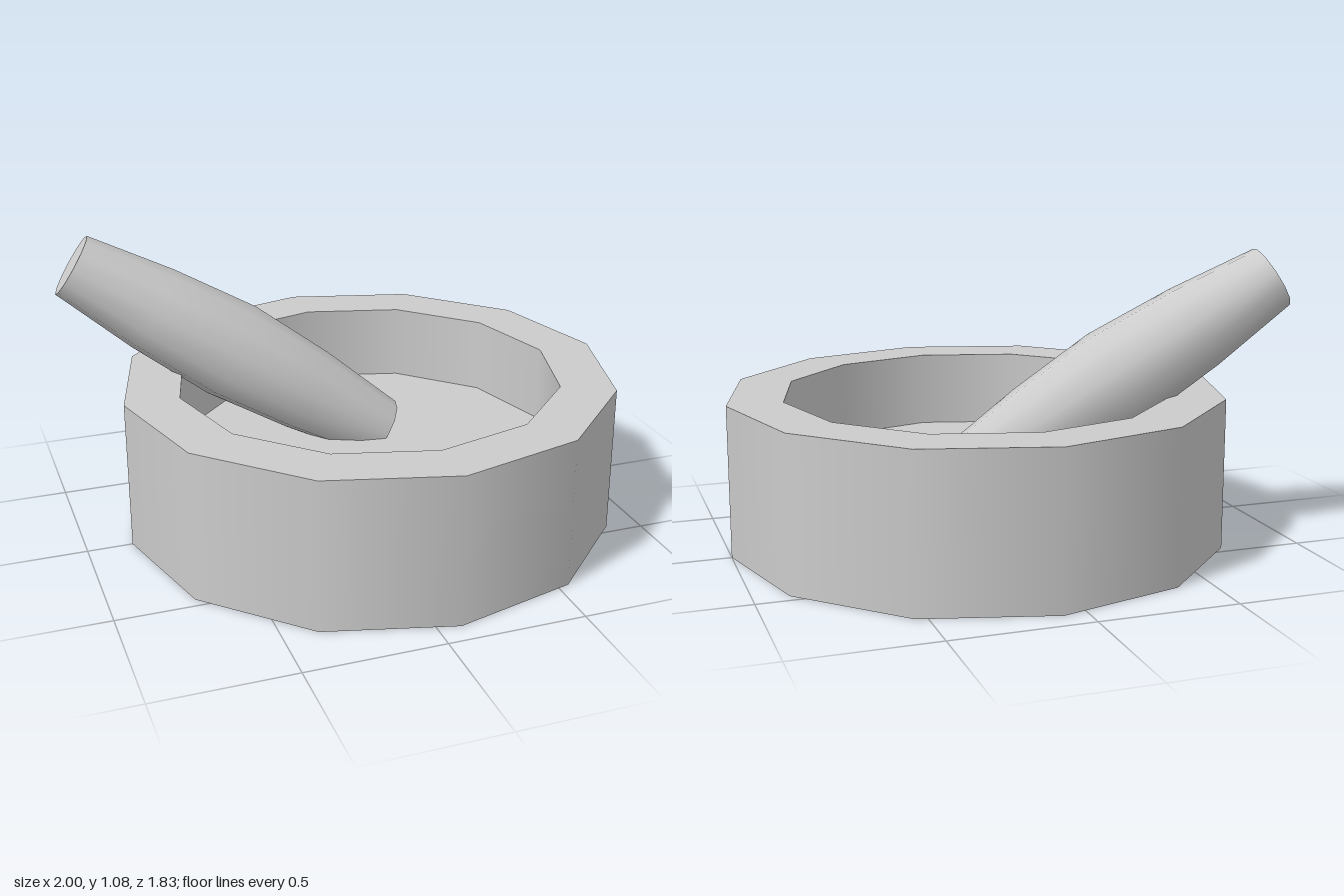
import * as THREE from 'three';
import { mergeGeometries } from 'three/addons/utils/BufferGeometryUtils.js';

const SIDES = 12;
const material = new THREE.MeshStandardMaterial({ color: 0xcccccc });

// Lathe several profile strips; each strip is smooth, joints between strips stay sharp
function latheStrips(strips) {
  return mergeGeometries(strips.map((strip) =>
    new THREE.LatheGeometry(strip.map(([r, y]) => new THREE.Vector2(r, y)), SIDES)));
}

function part(name, geometry) {
  const mesh = new THREE.Mesh(geometry, material);
  mesh.name = name;
  return mesh;
}

export function createModel() {
  const group = new THREE.Group();
  group.name = 'mortarAndPestle';

  // Bowl: base, outer wall, rim, inner wall, floor
  const outer = 0.917, inner = 0.714, height = 0.555, floor = 0.268;
  const outline = [[0, 0], [outer, 0], [outer, height], [inner, height], [inner, floor], [0, floor]];
  const bowl = part('bowl', latheStrips(outline.slice(1).map((p, i) => [outline[i], p])));
  bowl.position.x = 0.083;
  group.add(bowl);

  // Pestle: barrel-shaped rod with flat ends, leaning from the bowl floor over the rim
  const bottom = new THREE.Vector3(0.185, 0.26, -0.13);
  const top = new THREE.Vector3(-0.93, 0.975, -0.36);
  const axis = top.clone().sub(bottom);
  const length = axis.length();
  const radii = [0.121, 0.164, 0.187, 0.164, 0.121];
  const side = radii.map((r, i) => [r, (i / 4) * length]);
  const pestle = part('pestle', latheStrips([
    [[0, 0], side[0]],
    side,
    [side[4], [0, length]],
  ]));
  pestle.position.copy(bottom);
  pestle.quaternion.setFromUnitVectors(new THREE.Vector3(0, 1, 0), axis.normalize());
  group.add(pestle);

  return group;
}
